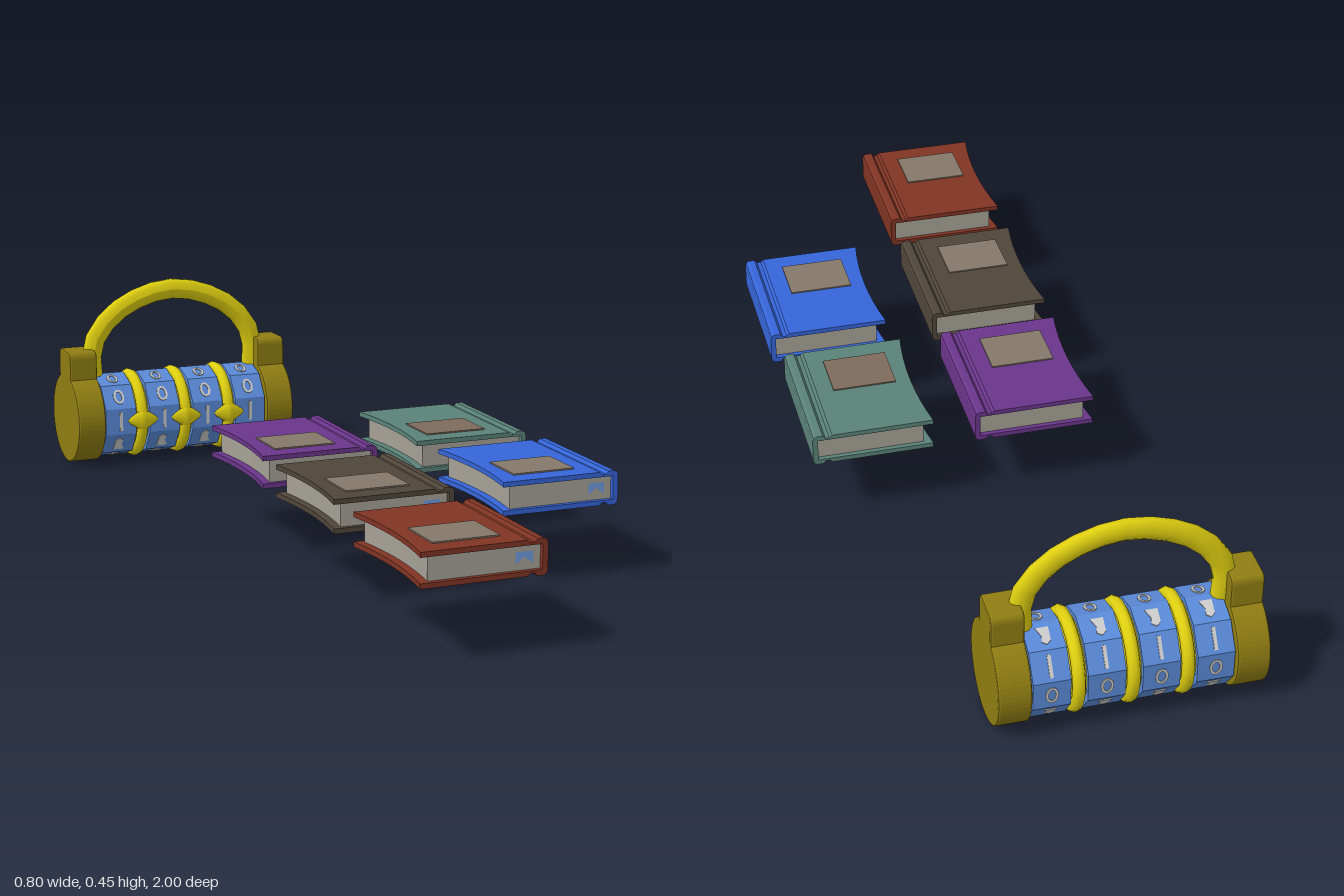
import * as THREE from 'three';

const mat = (color, extra = {}) => new THREE.MeshStandardMaterial({ color, ...extra });
const GOLD = mat(0xe0d010), BRASS = mat(0x8f7d12), DIAL = mat(0x5a8ad8, { flatShading: true });
const MARK = mat(0xcccccc), PAGES = mat(0xa5a196), RIBBON = mat(0x6f9be0, { side: THREE.DoubleSide });

function add(parent, name, geometry, material, x = 0, y = 0, z = 0) {
  const mesh = new THREE.Mesh(geometry, material);
  mesh.name = name;
  mesh.position.set(x, y, z);
  parent.add(mesh);
  return mesh;
}

function polygon(points) {
  return new THREE.Shape(points.map(([x, y]) => new THREE.Vector2(x, y)));
}

// Hollows the open edge (-x) of a book part towards the middle of its length
function hollowEdge(geometry) {
  const p = geometry.attributes.position;
  for (let i = 0; i < p.count; i++) {
    if (p.getX(i) < -0.1) {
      const t = p.getZ(i) / 0.165;
      p.setX(i, p.getX(i) + 0.014 * (1 - t * t));
    }
  }
  geometry.computeVertexNormals();
  return geometry;
}

function createBook(name, color, x, z, labelColor) {
  const book = new THREE.Group();
  book.name = name;
  book.position.set(x, 0.196, z);

  // Cover: C-shaped section with hinge grooves and a rounded spine
  const upper = [[-0.137, 0.037], [0.094, 0.037], [0.1, 0.031], [0.109, 0.031], [0.115, 0.038],
    [0.129, 0.038], [0.136, 0.034], [0.138, 0.027]];
  const inner = [[0.126, -0.026], [0.126, 0.026], [-0.137, 0.026]];
  const lower = upper.map(([a, b]) => [a, -b]).reverse();
  const section = polygon([...upper, ...lower, [-0.137, -0.026], ...inner]);
  const cover = new THREE.ExtrudeGeometry(section, { depth: 0.33, steps: 8, bevelEnabled: false });
  cover.translate(0, 0, -0.165);
  add(book, 'cover', hollowEdge(cover), mat(color));

  // Page block
  const pages = new THREE.BoxGeometry(0.246, 0.053, 0.308, 1, 1, 8);
  pages.translate(0.004, 0, 0);
  add(book, 'pages', hollowEdge(pages), PAGES);

  // Label plate on the front cover
  add(book, 'label', new THREE.BoxGeometry(0.145, 0.004, 0.118), mat(labelColor), -0.017, 0.038, 0.058);

  // Notched ribbon end hanging over the page edge
  const ribbon = polygon([[-0.019, 0.012], [0.019, 0.012], [0.019, -0.013], [0, 0.001], [-0.019, -0.013]]);
  add(book, 'ribbon', new THREE.ShapeGeometry(ribbon), RIBBON, 0.09, 0, 0.156);
  return book;
}

// Raised index marks for the dials
function createMarkGeometries() {
  const ring = new THREE.Shape().absellipse(0, 0, 0.014, 0.02, 0, Math.PI * 2, false);
  ring.holes.push(new THREE.Path().absellipse(0, 0, 0.008, 0.014, 0, Math.PI * 2, true));
  const bar = polygon([[-0.004, -0.024], [0.004, -0.024], [0.004, 0.024], [-0.004, 0.024]]);
  const wedge = polygon([[-0.014, -0.02], [0.014, -0.02], [0.005, 0], [0.008, 0.014], [-0.002, 0.021], [-0.012, 0.012]]);
  return [ring, bar, wedge].map(s => new THREE.ExtrudeGeometry(s, { depth: 0.004, bevelEnabled: false, curveSegments: 6 }));
}

function createLock() {
  const lock = new THREE.Group();
  lock.name = 'combinationLock';
  lock.position.set(-0.112, 0.115, -0.887);

  // End caps: a disc with a neck holding the shackle
  const r = 0.113, w = 0.046, start = Math.acos(w / r);
  const outline = new THREE.Shape();
  outline.absarc(0, 0, r, Math.PI - start, Math.PI * 2 + start, false);
  outline.lineTo(w, 0.155);
  outline.quadraticCurveTo(w, 0.174, w - 0.016, 0.174);
  outline.lineTo(-w + 0.016, 0.174);
  outline.quadraticCurveTo(-w, 0.174, -w, 0.155);
  const cap = new THREE.ExtrudeGeometry(outline, {
    depth: 0.062, bevelSize: 0.005, bevelThickness: 0.005, bevelOffset: -0.005, bevelSegments: 2, curveSegments: 28
  });
  cap.translate(0, 0, -0.031);
  cap.rotateY(Math.PI / 2);
  for (const side of [-1, 1]) add(lock, side < 0 ? 'rightCap' : 'leftCap', cap, BRASS, side * 0.253);

  // Core
  const core = new THREE.CylinderGeometry(0.092, 0.092, 0.46, 24);
  core.rotateZ(Math.PI / 2);
  add(lock, 'core', core, GOLD);

  // Ten-sided dials with a mark on each facet
  const drum = new THREE.CylinderGeometry(0.107, 0.107, 0.08, 10);
  drum.rotateY(Math.PI / 10);
  drum.rotateZ(Math.PI / 2);
  const marks = createMarkGeometries();
  for (let d = 0; d < 4; d++) {
    const dial = new THREE.Group();
    dial.name = 'dial' + (d + 1);
    dial.position.x = (d - 1.5) * 0.116;
    add(dial, 'drum', drum, DIAL);
    for (let i = 0; i < 10; i++) {
      const facet = new THREE.Group();
      facet.name = 'facetMark';
      facet.rotation.x = (i - 1) * Math.PI / 5;
      add(facet, 'mark', marks[i % 3], MARK, 0, 0, 0.1);
      dial.add(facet);
    }
    lock.add(dial);
  }

  // Separator rings with a pointed indicator on the front
  const ring = new THREE.TorusGeometry(0.098, 0.0145, 8, 28);
  ring.rotateY(Math.PI / 2);
  const pointer = new THREE.LatheGeometry(
    [[0, -0.04], [0.008, -0.034], [0.026, -0.006], [0.029, 0], [0.026, 0.006], [0.008, 0.034], [0, 0.04]]
      .map(([a, b]) => new THREE.Vector2(a, b)), 12);
  pointer.rotateZ(Math.PI / 2);
  pointer.scale(1, 1, 0.42);
  for (const i of [-1, 0, 1]) {
    add(lock, 'separator', ring, GOLD, i * 0.116);
    add(lock, 'indicator', pointer, GOLD, i * 0.116, 0, 0.102);
  }

  // Shackle: a flattened tube arching between the necks
  const half = [[0.215, 0.1], [0.217, 0.165], [0.197, 0.215], [0.148, 0.265], [0.075, 0.301]];
  const path = [...half.map(([x, y]) => [-x, y]), [0, 0.314], ...half.slice().reverse()]
    .map(([x, y]) => new THREE.Vector3(x, y, 0));
  const shackle = new THREE.TubeGeometry(new THREE.CatmullRomCurve3(path), 14, 0.026, 10);
  shackle.scale(1, 1, 0.65);
  shackle.computeVertexNormals();
  add(lock, 'shackle', shackle, GOLD);
  return lock;
}

export function createModel() {
  const model = new THREE.Group();
  model.name = 'booksAndLock';
  model.add(createLock());
  const books = [
    ['redBook', 0x803424, -0.125, 0.835, 0x85786a],
    ['brownBook', 0x50463a, -0.125, 0.4, 0x85786a],
    ['purpleBook', 0x6a358a, -0.125, -0.01, 0x85786a],
    ['tealBook', 0x5a8278, 0.247, -0.01, 0x7d6b5c],
    ['blueBook', 0x3565d8, 0.262, 0.405, 0x85786a],
  ];
  for (const b of books) model.add(createBook(...b));
  return model;
}
